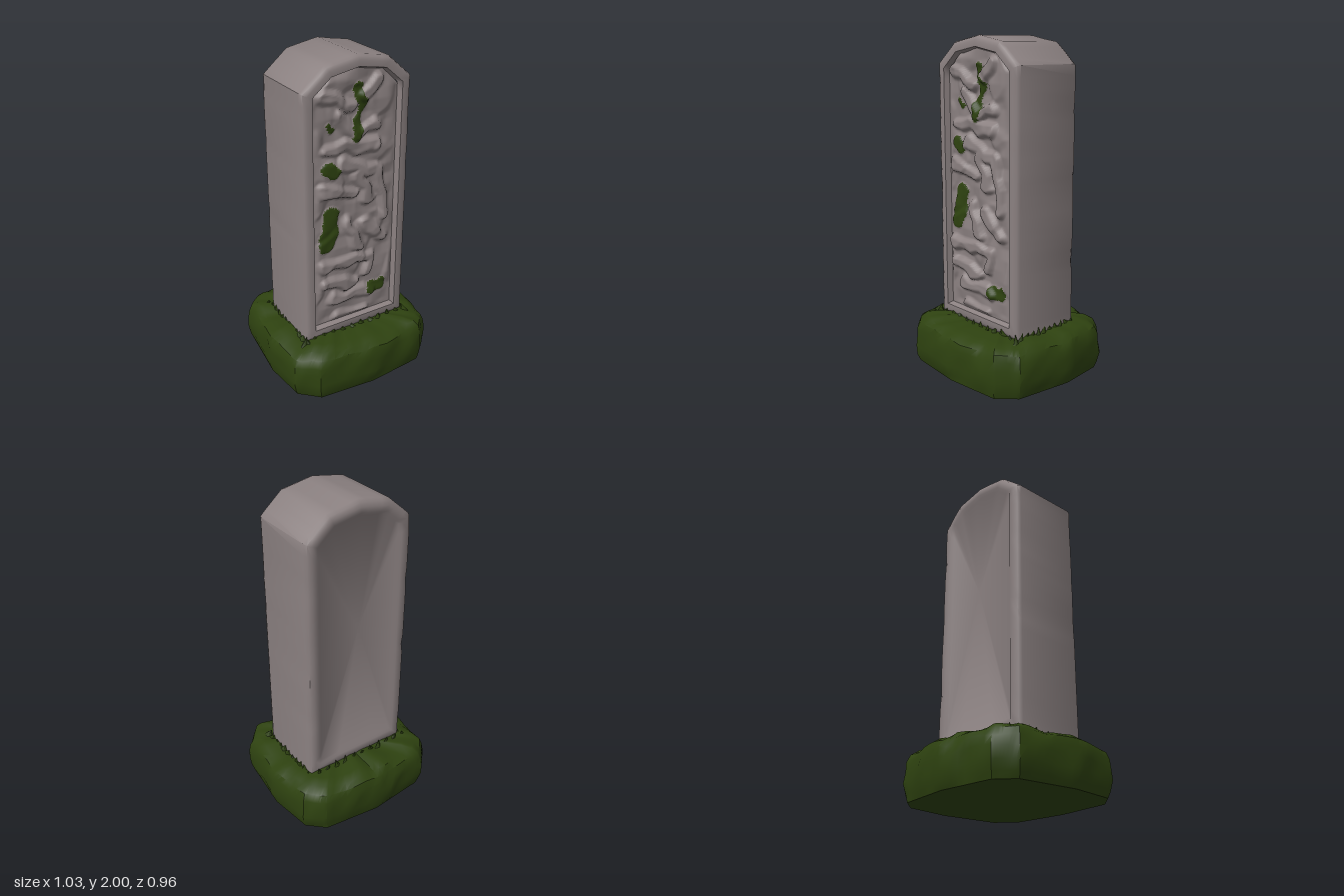
import * as THREE from 'three';
import { toCreasedNormals } from 'three/addons/utils/BufferGeometryUtils.js';

const V = (x, y, z) => new THREE.Vector3(x, y, z);
const smooth = THREE.MathUtils.smoothstep;

// Seeded value noise in -1..1
const hash = (i, j, k) => {
  const s = Math.sin(i * 127.1 + j * 311.7 + k * 74.7) * 43758.5453;
  return (s - Math.floor(s)) * 2 - 1;
};
function noise(x, y, z = 0) {
  const i = Math.floor(x), j = Math.floor(y), k = Math.floor(z);
  const mix = THREE.MathUtils.lerp;
  const row = (b, c) => mix(hash(i, b, c), hash(i + 1, b, c), x - i);
  const face = (c) => mix(row(j, c), row(j + 1, c), y - j);
  return mix(face(k), face(k + 1), z - k);
}

// Closed skin over rings of points, with a cap at each chosen end
function loft(rings, capStart, capEnd, crease) {
  const n = rings[0].length, pos = [], idx = [];
  rings.flat().forEach((p) => pos.push(p.x, p.y, p.z));
  for (let r = 0; r < rings.length - 1; r++) {
    for (let i = 0; i < n; i++) {
      const a = r * n + i, b = r * n + ((i + 1) % n);
      idx.push(a, b, b + n, a, b + n, a + n);
    }
  }
  const cap = (r, flip) => {
    const c = V(0, 0, 0);
    rings[r].forEach((p) => c.addScaledVector(p, 1 / n));
    const m = pos.push(c.x, c.y, c.z) / 3 - 1;
    for (let i = 0; i < n; i++) {
      const a = r * n + i, b = r * n + ((i + 1) % n);
      if (flip) idx.push(m, b, a); else idx.push(m, a, b);
    }
  };
  if (capStart) cap(0, true);
  if (capEnd) cap(rings.length - 1, false);
  const g = new THREE.BufferGeometry();
  g.setAttribute('position', new THREE.Float32BufferAttribute(pos, 3));
  g.setIndex(idx);
  return toCreasedNormals(g, crease);
}

// Arched slab outline moved inward by d
const ARCH = [[-0.35, 0.29], [0.345, 0.29], [0.345, 1.84], [0.2, 1.965], [0, 2], [-0.2, 1.965], [-0.35, 1.84]];
function insetArch(d) {
  const n = ARCH.length;
  const line = (i) => {
    const [ax, ay] = ARCH[i % n], [bx, by] = ARCH[(i + 1) % n];
    const l = Math.hypot(bx - ax, by - ay), nx = -(by - ay) / l, ny = (bx - ax) / l;
    return [nx, ny, nx * ax + ny * ay + d];
  };
  return ARCH.map((_, i) => {
    const [a, b, c] = line(i + n - 1), [e, f, g] = line(i), det = a * f - b * e;
    return [(c * f - b * g) / det, (a * g - c * e) / det];
  });
}
function slabRing(d, z, wear) {
  const pts = insetArch(d), ring = [];
  pts.forEach((p, i) => {
    const q = pts[(i + 1) % pts.length], steps = i === 1 || i === 6 ? 24 : 4;
    for (let s = 0; s < steps; s++) {
      const x = p[0] + (q[0] - p[0]) * s / steps, y = p[1] + (q[1] - p[1]) * s / steps;
      const w = wear * Math.max(0, noise(x * 9 + 3, y * 9, z * 20));
      ring.push(V(x * (1 - w), y - w * 0.3, z * (1 - w)));
    }
  });
  return ring;
}

// Distance from a point to a polyline given as x, y pairs
function distTo(x, y, line) {
  let best = 9;
  for (let i = 0; i + 3 < line.length; i += 2) {
    const dx = line[i + 2] - line[i], dy = line[i + 3] - line[i + 1];
    const t = THREE.MathUtils.clamp(((x - line[i]) * dx + (y - line[i + 1]) * dy) / (dx * dx + dy * dy), 0, 1);
    best = Math.min(best, Math.hypot(x - line[i] - t * dx, y - line[i + 1] - t * dy));
  }
  return best;
}

// Worn raised ridges of the carved face
const RIDGES = [
  [-0.22, 1.8, -0.05, 1.72], [0.05, 1.78, 0.12, 1.84], [-0.12, 1.67, 0, 1.55, 0.12, 1.6],
  [-0.2, 1.5, 0.1, 1.47], [-0.08, 1.4, 0.15, 1.3, 0.2, 1.02], [-0.21, 1.26, -0.02, 1.2],
  [0.02, 1.32, 0.08, 1.15], [-0.06, 1.02, 0, 0.86], [0.07, 0.98, 0.2, 0.87],
  [-0.2, 0.77, 0.11, 0.75, 0.09, 0.66], [-0.2, 0.64, 0, 0.6], [-0.16, 0.53, 0.1, 0.5], [-0.12, 0.38, 0.06, 0.37],
];
// Moss growing on the carved face: radius, then the line it follows
const PATCHES = [
  [0.026, [0, 1.83, 0.04, 1.72, 0, 1.62, -0.01, 1.54]],
  [0.02, [-0.18, 1.63, -0.16, 1.6]],
  [0.042, [-0.19, 1.39, -0.15, 1.35]],
  [0.052, [-0.16, 1.09, -0.17, 0.98, -0.2, 0.91]],
  [0.038, [0.12, 0.515, 0.19, 0.53]],
];
const mossAmount = (x, y) => Math.max(...PATCHES.map(([r, line]) =>
  r + 0.014 * noise(x * 30, y * 30, 5) - distTo(x, y, line)));

function carvedFace() {
  const g = new THREE.PlaneGeometry(2, 1, 60, 170), p = g.attributes.position;
  for (let i = 0; i < p.count; i++) {
    const u = p.getX(i), y = 0.36 + (p.getY(i) + 0.5) * 1.568;
    const half = y < 1.8 ? 0.272 : y < 1.9 ? 0.272 - (y - 1.8) : 0.172 * (1.928 - y) / 0.028;
    const x = u * half - 0.003;
    const wx = x + 0.025 * noise(x * 14, y * 14, 1), wy = y + 0.025 * noise(x * 14, y * 14, 2);
    const d = Math.min(...RIDGES.map((line) => distTo(wx, wy, line)));
    let h = 0.028 * (1 - smooth(d, 0.02, 0.05)) + 0.009 * noise(x * 15, y * 15, 3);
    h += 0.012 * smooth(noise(x * 7, y * 7, 9), 0, 0.3);
    h *= smooth(1 - Math.abs(u), 0, 0.12) * smooth(y, 0.36, 0.4);
    h += 0.008 * smooth(mossAmount(x, y), -0.004, 0.006);
    p.setXYZ(i, x, y, Math.min(0.21 + h, 0.25));
  }
  g.computeVertexNormals();
  // Split the triangles into stone and moss
  const old = g.index.array, lists = [[], []];
  for (let t = 0; t < old.length; t += 3) {
    const tri = [old[t], old[t + 1], old[t + 2]];
    const cx = tri.reduce((s, v) => s + p.getX(v) / 3, 0), cy = tri.reduce((s, v) => s + p.getY(v) / 3, 0);
    lists[mossAmount(cx, cy) > 0 ? 1 : 0].push(...tri);
  }
  g.setIndex(lists.flat());
  g.clearGroups();
  g.addGroup(0, lists[0].length, 0);
  g.addGroup(lists[0].length, lists[1].length, 1);
  return g;
}

// Lumpy mound footprint as x, z corners, counter-clockwise from above
const FOOT = [[0.515, -0.04], [0.475, -0.33], [0.37, -0.43], [0, -0.475], [-0.37, -0.44], [-0.47, -0.34],
  [-0.515, 0.04], [-0.485, 0.33], [-0.37, 0.44], [0, 0.475], [0.37, 0.44], [0.475, 0.33]];
function moundRing(scale, y, rough) {
  const ring = [];
  FOOT.forEach(([ax, az], i) => {
    const [bx, bz] = FOOT[(i + 1) % FOOT.length];
    for (let s = 0; s < 8; s++) {
      const x = ax + (bx - ax) * s / 8, z = az + (bz - az) * s / 8;
      const k = scale * (1 + rough * noise(x * 11, y * 17, z * 11));
      ring.push(V(x * k, y + rough * 0.5 * noise(x * 13, y * 13 + 7, z * 13), z * k));
    }
  });
  return ring;
}

export function createModel() {
  const stone = new THREE.MeshStandardMaterial({ color: 0x8b8181 });
  stone.name = 'grey stone';
  const moss = new THREE.MeshStandardMaterial({ color: 0x2e4210 });
  moss.name = 'dark moss';
  const model = new THREE.Group();
  model.name = 'mossyStone';
  const add = (name, geometry, material, parent = model) => {
    const mesh = new THREE.Mesh(geometry, material);
    mesh.name = name;
    parent.add(mesh);
    return mesh;
  };

  // Upright slab: sunken back panel, worn rounded edges, front frame
  const profile = [[0.085, -0.218, 0], [0.068, -0.23, 0], [0.035, -0.231, 0.01], [0.01, -0.222, 0.03], [0, -0.2, 0.012],
    [0, 0.212, 0], [0.008, 0.234, 0.014], [0.03, 0.244, 0.006], [0.062, 0.243, 0], [0.076, 0.206, 0]];
  add('slab', loft(profile.map((r) => slabRing(...r)), true, false, 0.85), stone);
  add('carvedFace', carvedFace(), [stone, moss]);

  // Mossy mound around the foot
  const mound = [[0.95, 0, 0], [0.975, 0.04, 0.02], [0.995, 0.1, 0.02], [0.995, 0.17, 0.03], [0.985, 0.22, 0.03],
    [0.955, 0.262, 0.04], [0.88, 0.29, 0.04], [0.76, 0.3, 0.04], [0.55, 0.302, 0.03]];
  add('mossMound', loft(mound.map((r) => moundRing(...r)), true, true, 0.6), moss);

  // Ragged moss tufts creeping up the slab
  const tufts = new THREE.Group();
  tufts.name = 'mossTufts';
  model.add(tufts);
  for (let i = 0; i < 44; i++) {
    const t = i / 44 * 4, side = Math.floor(t), f = (t - side) * 2 - 1, r = hash(i, 3, 8);
    const sign = side < 2 ? 1 : -1;
    const [x, z] = side % 2 ? [sign * 0.35, -f * 0.25] : [f * 0.36, sign * 0.245];
    const tuft = add('tuft', new THREE.ConeGeometry(0.03 + 0.01 * r, 0.05 + 0.02 * r, 4), moss, tufts);
    tuft.position.set(x, 0.305, z);
    tuft.scale.set(side % 2 ? 0.5 : 1, 1, side % 2 ? 1 : 0.5);
    tuft.rotation.set(0.4 * hash(i, 1, 1), 0.5 * r, 0.4 * hash(i, 2, 2));
  }
  return model;
}
